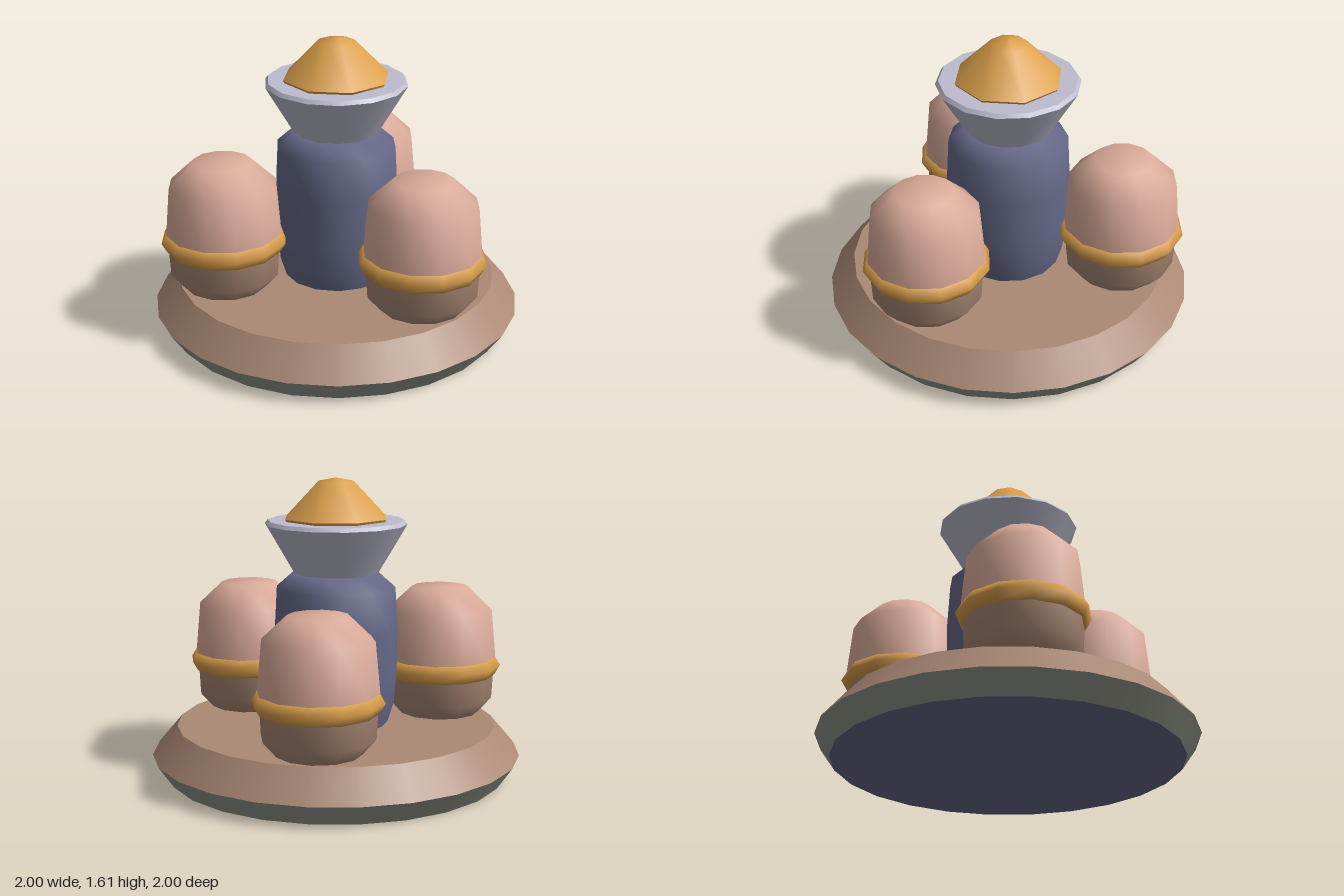
import * as THREE from 'three';

const mat = (name, color) => {
  const m = new THREE.MeshStandardMaterial({ color });
  m.name = name;
  return m;
};

export function createModel() {
  const clay = mat('clay brown', 0xab8975);
  const stone = mat('stone grey', 0x92958a);
  const slate = mat('slate blue', 0x666a8a);
  const pink = mat('dusty pink', 0xdbab9a);
  const gold = mat('gold', 0xdca04c);
  const silver = mat('pale silver', 0xbcbccf);

  const model = new THREE.Group();
  model.name = 'podTower';

  const add = (parent, name, geometry, material, y = 0) => {
    const mesh = new THREE.Mesh(geometry, material);
    mesh.name = name;
    mesh.position.y = y;
    parent.add(mesh);
    return mesh;
  };
  const lathe = (profile, sides, start = 0) =>
    new THREE.LatheGeometry(profile.map(([r, y]) => new THREE.Vector2(r, y)), sides, start);
  // Cylinder given by its bottom and top radius and height range
  const drum = (parent, name, r0, r1, y0, y1, sides, material, start = 0) =>
    add(parent, name, new THREE.CylinderGeometry(r1, r0, y1 - y0, sides, 1, false, start),
      material, (y0 + y1) / 2);

  // Two-tier round base with a slate underside
  drum(model, 'baseFoot', 0.92, 1, 0, 0.115, 24, [stone, stone, slate]);
  drum(model, 'baseTop', 1, 0.865, 0.115, 0.275, 24, clay);

  // Central column, 14 sides with corners on the x axis
  add(model, 'column', lathe([
    [0.28, 0.27], [0.315, 0.38], [0.33, 0.55], [0.332, 0.8], [0.32, 1.02], [0.23, 1.1], [0, 1.1],
  ], 14, Math.PI / 2), slate);

  // Flared collar with a thin bevelled rim
  drum(model, 'collar', 0.23, 0.382, 1.1, 1.36, 14, silver, Math.PI / 2);
  drum(model, 'collarRim', 0.382, 0.366, 1.36, 1.38, 14, silver, Math.PI / 2);

  // Eight-sided cap
  add(model, 'cap', lathe([[0.288, 1.393], [0.1, 1.585], [0, 1.605]], 8), gold);
  drum(model, 'capUnderside', 0.278, 0.287, 1.375, 1.393, 8, gold);

  // Three banded pods spaced evenly around the column
  for (let i = 0; i < 3; i++) {
    const pod = new THREE.Group();
    pod.name = `pod${i + 1}`;
    const angle = Math.PI + (i * Math.PI * 2) / 3;
    pod.position.set(0.623 * Math.cos(angle), 0, 0.623 * Math.sin(angle));
    add(pod, 'podCup', lathe([[0.22, 0.27], [0.295, 0.355], [0.305, 0.545]], 12), clay);
    add(pod, 'podDome', lathe([[0.315, 0.545], [0.312, 0.6], [0.288, 0.855], [0.157, 0.98], [0, 0.981]], 12), pink);
    const band = new THREE.TorusGeometry(0.28, 0.06, 6, 12).rotateX(Math.PI / 2);
    add(pod, 'podBand', band, gold, 0.543);
    model.add(pod);
  }

  return model;
}
